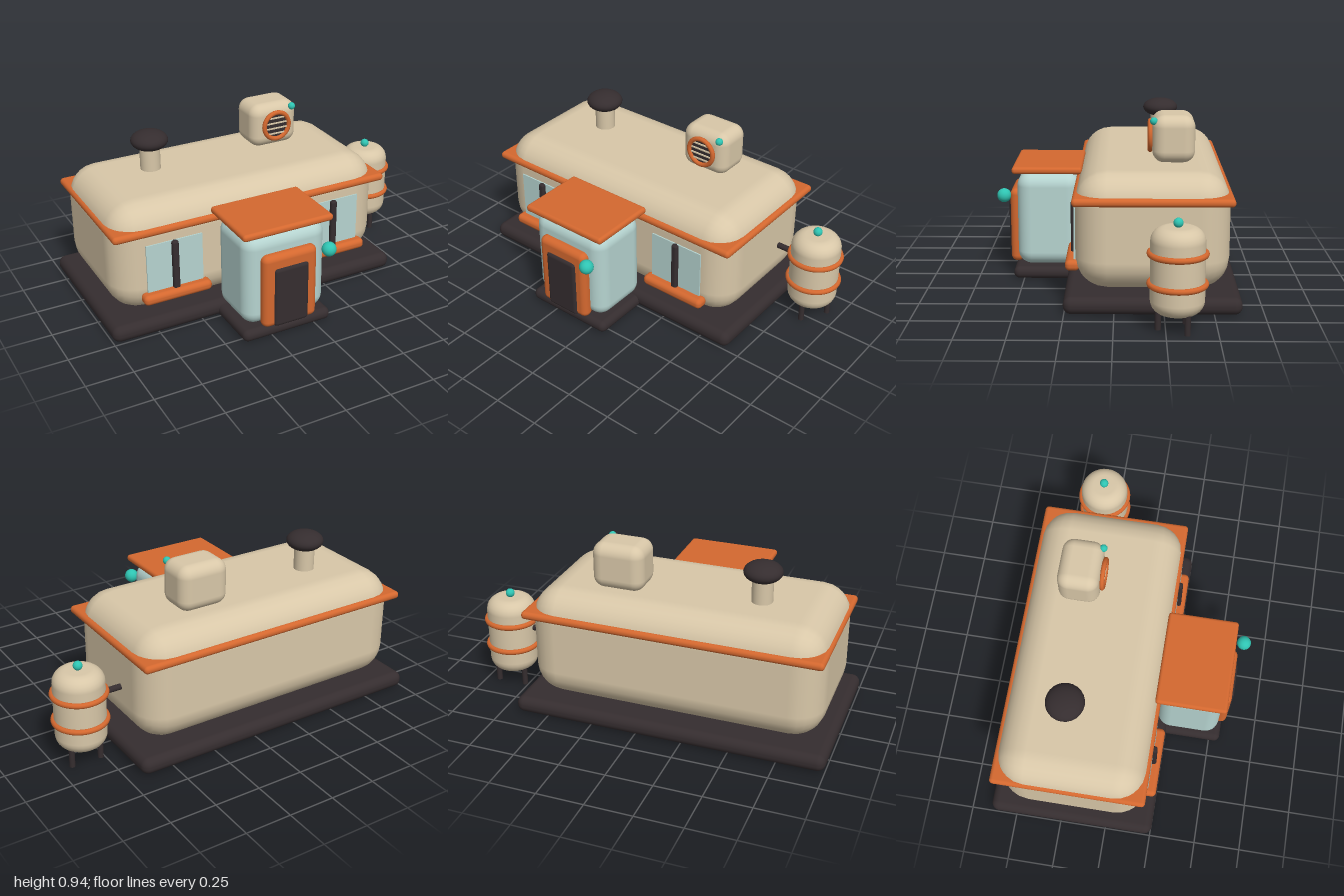
import * as THREE from 'three';
import { RoundedBoxGeometry } from 'three/addons/geometries/RoundedBoxGeometry.js';

const material = (name, color) => {
  const m = new THREE.MeshStandardMaterial({ color });
  m.name = name;
  return m;
};

export function createModel() {
  const sand = material('sand', 0xd8c7a8);
  const orange = material('orange', 0xd4682f);
  const dark = material('charcoal', 0x352d2f);
  const blue = material('paleBlue', 0xb6d4d0);
  const teal = material('teal', 0x2fc4b2);

  const house = new THREE.Group();
  house.name = 'house';

  const add = (name, geometry, mat, x = 0, y = 0, z = 0, parent = house) => {
    const mesh = new THREE.Mesh(geometry, mat);
    mesh.name = name;
    mesh.position.set(x, y, z);
    parent.add(mesh);
    return mesh;
  };
  // Rounded box given by its limits on each axis
  const block = (name, mat, [x0, x1], [y0, y1], [z0, z1], r, seg = 4, parent = house) =>
    add(name, new RoundedBoxGeometry(x1 - x0, y1 - y0, z1 - z0, seg, r), mat,
      (x0 + x1) / 2, (y0 + y1) / 2, (z0 + z1) / 2, parent);
  const ball = (name, mat, r, x, y, z, parent = house) =>
    add(name, new THREE.SphereGeometry(r, 24, 16), mat, x, y, z, parent);

  // Foundation and main shell
  block('foundation', dark, [-1, 0.677], [0, 0.09], [-0.64, 0.255], 0.042);
  block('porchFoundation', dark, [-0.415, 0.095], [0, 0.067], [0.1, 0.557], 0.032);
  block('body', sand, [-0.95, 0.62], [0.09, 0.695], [-0.585, 0.2], 0.163, 3);
  block('eaveTrim', orange, [-0.957, 0.635], [0.543, 0.585], [-0.597, 0.21], 0.02);

  // Windows
  for (const x of [-0.632, 0.308]) {
    const win = new THREE.Group();
    win.name = 'window';
    win.position.x = x;
    house.add(win);
    add('glass', new THREE.BoxGeometry(0.312, 0.28, 0.009), blue, 0, 0.358, 0.2025, win);
    block('mullion', dark, [-0.018, 0.018], [0.22, 0.498], [0.19, 0.229], 0.012, 3, win);
    block('sill', orange, [-0.19, 0.19], [0.173, 0.23], [0.178, 0.252], 0.025, 4, win);
  }

  // Entrance porch
  block('porch', blue, [-0.395, 0.075], [0.07, 0.585], [0.195, 0.536], 0.075);
  block('porchRoof', orange, [-0.417, 0.095], [0.588, 0.626], [0.18, 0.558], 0.017);
  block('doorFrame', orange, [-0.316, -0.006], [0.07, 0.483], [0.51, 0.58], 0.033);
  block('door', dark, [-0.26, -0.062], [0.075, 0.412], [0.55, 0.592], 0.02);
  ball('porchLamp', teal, 0.038, 0.04, 0.462, 0.605);

  // Chimney with a flattened cap
  add('chimneyPipe', new THREE.CylinderGeometry(0.055, 0.055, 0.2, 24), sand, -0.555, 0.74, -0.255);
  ball('chimneyCap', dark, 0.1, -0.555, 0.857, -0.255).scale.y = 0.53;

  // Roof fan unit
  const fan = new THREE.Group();
  fan.name = 'fanUnit';
  house.add(fan);
  block('fanHousing', sand, [0.034, 0.315], [0.693, 0.94], [-0.414, -0.193], 0.062, 4, fan);
  add('fanRing', new THREE.TorusGeometry(0.076, 0.013, 10, 32), orange, 0.174, 0.82, -0.183, fan);
  add('fanOpening', new THREE.CylinderGeometry(0.074, 0.074, 0.009, 32), dark,
    0.174, 0.82, -0.19, fan).rotation.x = Math.PI / 2;
  for (const dy of [-0.045, -0.015, 0.015, 0.045]) {
    const w = 2 * Math.sqrt(0.07 ** 2 - dy ** 2);
    add('fanSlat', new THREE.BoxGeometry(w, 0.007, 0.009), sand, 0.174, 0.82 + dy, -0.183, fan);
  }
  ball('fanLight', teal, 0.02, 0.277, 0.911, -0.2, fan);

  // Water tank: rounded ends, hoops, three legs, pipe to the house
  const tank = new THREE.Group();
  tank.name = 'waterTank';
  tank.position.set(0.849, 0, -0.305);
  house.add(tank);
  const profile = [new THREE.Vector2(0, 0.083)];
  const c = 0.07, R = 0.132;
  for (const [cy, start] of [[0.083 + c, -Math.PI / 2], [0.51 - c, 0]]) {
    for (let i = 0; i <= 6; i++) {
      const a = start + (i / 6) * Math.PI / 2;
      profile.push(new THREE.Vector2(R - c + c * Math.cos(a), cy + c * Math.sin(a)));
    }
  }
  profile.push(new THREE.Vector2(0, 0.51));
  add('tankShell', new THREE.LatheGeometry(profile, 32), sand, 0, 0, 0, tank);
  for (const y of [0.232, 0.381]) {
    add('tankHoop', new THREE.TorusGeometry(0.134, 0.015, 10, 40), orange, 0, y, 0, tank)
      .rotation.x = Math.PI / 2;
  }
  for (let i = 0; i < 3; i++) {
    const a = i * Math.PI * 2 / 3;
    add('tankLeg', new THREE.CylinderGeometry(0.015, 0.015, 0.13, 12), dark,
      0.092 * Math.sin(a), 0.065, 0.092 * Math.cos(a), tank);
  }
  ball('tankKnob', teal, 0.024, 0, 0.529, 0, tank);
  add('pipe', new THREE.CylinderGeometry(0.016, 0.016, 0.16, 16), dark, -0.18, 0.34, 0, tank)
    .rotation.z = Math.PI / 2;

  return house;
}
